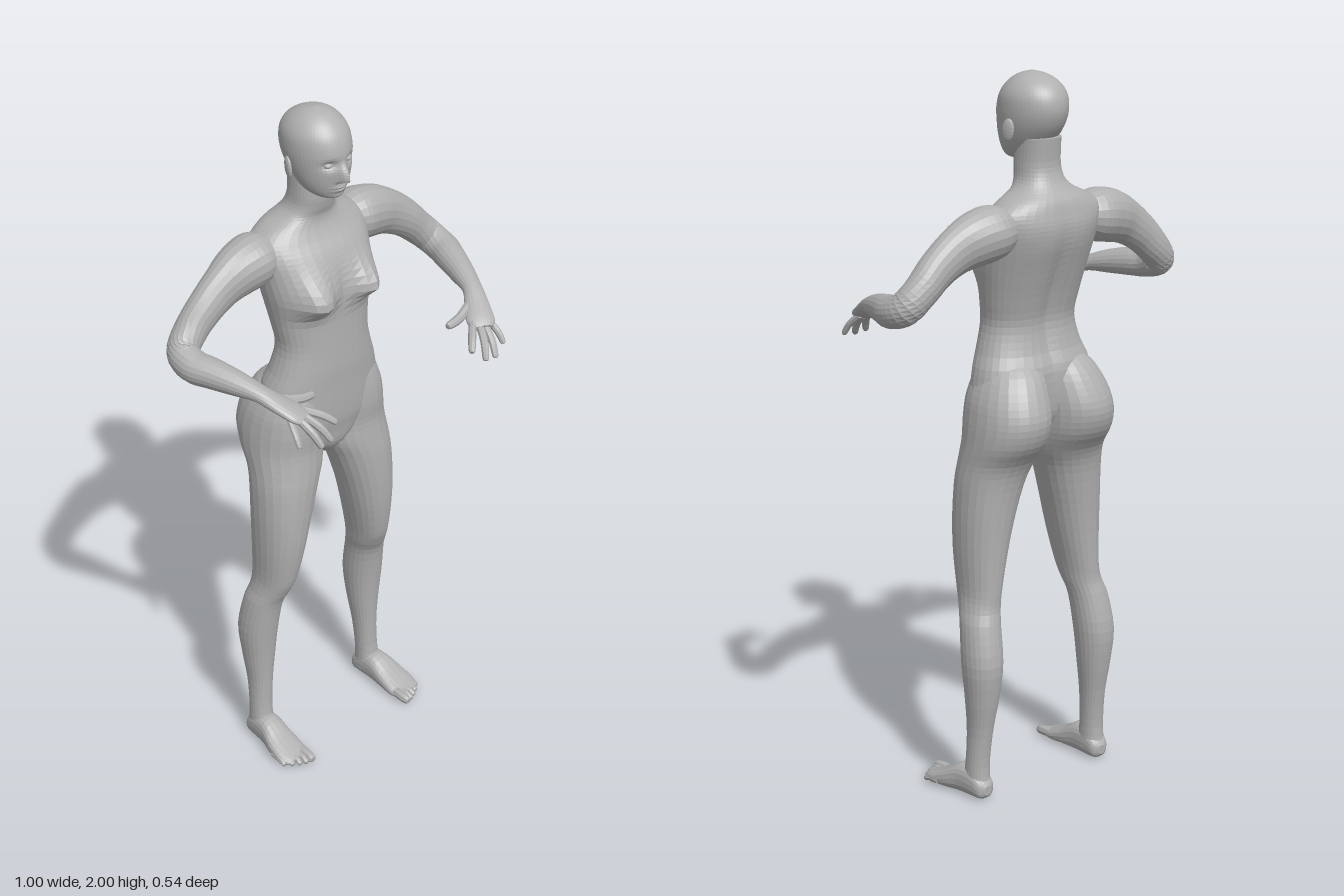
import * as THREE from 'three';

const skinMat = new THREE.MeshStandardMaterial({ color: 0xb0b0b0, flatShading: true });
skinMat.name = 'plain grey';

const bell = (v, c, w) => Math.exp(-(((v - c) / w) ** 2));

// Smooth interpolation through rows of numbers
function sample(rows, steps) {
  const out = [], n = rows.length - 1;
  const at = i => rows[Math.min(Math.max(i, 0), n)];
  for (let k = 0; k <= steps; k++) {
    const t = (k / steps) * n, i = Math.min(Math.floor(t), n - 1), f = t - i;
    const [a, b, c, d] = [at(i - 1), at(i), at(i + 1), at(i + 2)];
    out.push(b.map((v, j) => v + 0.5 * f * (c[j] - a[j] + f * (2 * a[j] - 5 * v + 4 * c[j] - d[j]
      + f * (3 * (v - c[j]) + d[j] - a[j])))));
  }
  return out;
}

// Closed skin over a list of rings
function skin(rings) {
  const sides = rings[0].length, last = rings.length - 1, pos = [], idx = [];
  rings.forEach(r => r.forEach(p => pos.push(p.x, p.y, p.z)));
  for (const r of [rings[0], rings[last]]) {
    const c = r.reduce((s, p) => s.add(p), new THREE.Vector3()).divideScalar(sides);
    pos.push(c.x, c.y, c.z);
  }
  const bottom = rings.length * sides, top = bottom + 1;
  for (let j = 0; j < sides; j++) {
    const k = (j + 1) % sides;
    for (let i = 0; i < last; i++) {
      const a = i * sides + j, b = i * sides + k;
      idx.push(a, a + sides, b, b, a + sides, b + sides);
    }
    idx.push(bottom, j, k, top, last * sides + k, last * sides + j);
  }
  const g = new THREE.BufferGeometry();
  g.setAttribute('position', new THREE.Float32BufferAttribute(pos, 3));
  g.setIndex(idx);
  g.computeVertexNormals();
  return g;
}

// Rows: [height, centre x, half width, front z, back z]
function loft(rows, steps, sides, shape = p => p, power = 1) {
  const soft = v => Math.sign(v) * Math.abs(v) ** power;
  return skin(sample(rows, steps).map(([t, c, r, f, b]) =>
    Array.from({ length: sides }, (_, j) => {
      const a = (j / sides) * Math.PI * 2, s = soft(Math.sin(a));
      return shape(new THREE.Vector3(c + r * soft(Math.cos(a)), t, (f + b) / 2 + s * (f - b) / 2), s);
    })));
}

// Rows: [x, y, z, sideways radius, upright radius]
function limb(rows, steps, sides) {
  const pts = sample(rows, steps), up = new THREE.Vector3(0, 1, 0);
  const vec = r => new THREE.Vector3(r[0], r[1], r[2]);
  return skin(pts.map((r, i) => {
    const dir = vec(pts[Math.min(i + 1, steps)]).sub(vec(pts[Math.max(i - 1, 0)])).normalize();
    const side = new THREE.Vector3().crossVectors(up, dir).normalize();
    const lift = new THREE.Vector3().crossVectors(dir, side);
    return Array.from({ length: sides }, (_, j) => {
      const a = (-j / sides) * Math.PI * 2;
      return vec(r).addScaledVector(side, Math.cos(a) * r[3]).addScaledVector(lift, Math.sin(a) * r[4]);
    });
  }));
}

// Finger or toe: from base through a joint to a rounded tip
function digit(base, joint, tip, r) {
  const end = tip.map((v, i) => v + (joint[i] - v) * 0.12);
  return limb([[...base, r, r], [...joint, r, r], [...end, r * 0.8, r * 0.8], [...tip, r * 0.25, r * 0.25]], 9, 8);
}

function ball(x, y, z, sx, sy, sz) {
  return new THREE.SphereGeometry(1, 14, 10).scale(sx, sy, sz).translate(x, y, z);
}

function mirrored(g) {
  const m = g.clone().scale(-1, 1, 1), ix = m.index;
  for (let i = 0; i < ix.count; i += 3) {
    const a = ix.getX(i);
    ix.setX(i, ix.getX(i + 1));
    ix.setX(i + 1, a);
  }
  m.computeVertexNormals();
  return m;
}

export function createModel() {
  const model = new THREE.Group();
  model.name = 'figure';
  const add = (name, g) => {
    const m = new THREE.Mesh(g, skinMat);
    m.name = name;
    model.add(m);
  };
  const pair = (name, g) => {
    add(name + 'Left', g);
    add(name + 'Right', mirrored(g));
  };

  // Torso and neck, with chest and a groove along the spine
  const torsoRows = [
    [0.96, 0, 0.025, -0.05, -0.12], [1.0, 0, 0.075, -0.022, -0.15], [1.05, 0, 0.145, -0.012, -0.18],
    [1.1, 0, 0.195, -0.004, -0.2], [1.2, 0, 0.184, 0, -0.205], [1.26, 0, 0.162, 0.002, -0.185],
    [1.33, 0, 0.144, 0, -0.175], [1.4, 0, 0.152, -0.002, -0.19], [1.48, 0, 0.165, -0.002, -0.215],
    [1.55, 0, 0.174, -0.012, -0.238], [1.6, 0, 0.182, -0.032, -0.245], [1.64, 0, 0.178, -0.06, -0.238],
    [1.67, 0, 0.14, -0.075, -0.228], [1.695, 0, 0.09, -0.078, -0.21], [1.72, 0, 0.067, -0.071, -0.195],
    [1.76, 0, 0.06, -0.065, -0.185], [1.83, 0, 0.057, -0.07, -0.19],
  ];
  add('torso', loft(torsoRows, 56, 36, (p, s) => {
    const x = Math.abs(p.x);
    if (s > 0.1) p.z += 0.056 * bell(x, 0.092, 0.05) * bell(p.y, 1.485, p.y < 1.485 ? 0.035 : 0.062);
    if (s < -0.1) p.z += 0.016 * bell(x, 0, 0.03) * bell(p.y, 1.38, 0.2);
    return p;
  }, 0.88));

  // Head with sockets, nose, lips and chin
  const headRows = [
    [1.764, 0, 0.02, -0.03, -0.08], [1.772, 0, 0.04, -0.018, -0.11], [1.79, 0, 0.059, -0.012, -0.14],
    [1.82, 0, 0.073, -0.005, -0.168], [1.86, 0, 0.083, 0, -0.198], [1.9, 0, 0.087, 0, -0.212],
    [1.94, 0, 0.083, -0.012, -0.207], [1.97, 0, 0.065, -0.035, -0.185], [1.99, 0, 0.038, -0.065, -0.148],
    [2.0, 0, 0.004, -0.1, -0.108],
  ];
  add('head', loft(headRows, 54, 56, (p, s) => {
    if (s < 0.2) return p;
    const x = Math.abs(p.x), { smoothstep } = THREE.MathUtils;
    const bridge = (1 - smoothstep(p.y, 1.83, 1.885)) * smoothstep(p.y, 1.814, 1.828);
    p.z += 0.03 * bridge * bell(x, 0, 0.013);
    p.z -= 0.013 * bell(x, 0.034, 0.018) * bell(p.y, 1.872, 0.012);
    p.z += 0.009 * bell(x, 0, 0.022) * bell(p.y, 1.798, 0.01);
    p.z -= 0.006 * bell(x, 0, 0.02) * bell(p.y, 1.798, 0.003);
    p.z += 0.004 * bell(x, 0, 0.02) * bell(p.y, 1.775, 0.008);
    return p;
  }));
  pair('eye', ball(0.034, 1.871, -0.022, 0.013, 0.008, 0.012));
  pair('ear', ball(0, 0, 0, 0.008, 0.031, 0.018).rotateY(0.35).rotateX(-0.15).translate(0.09, 1.852, -0.112));

  // Leg, from ankle up to buttock
  pair('leg', loft([
    [0.03, 0.214, 0.034, -0.075, -0.168], [0.1, 0.213, 0.032, -0.093, -0.162], [0.2, 0.209, 0.034, -0.095, -0.172],
    [0.3, 0.207, 0.045, -0.09, -0.19], [0.4, 0.206, 0.054, -0.08, -0.2], [0.5, 0.198, 0.053, -0.064, -0.182],
    [0.55, 0.186, 0.051, -0.042, -0.169], [0.6, 0.178, 0.052, -0.022, -0.168], [0.7, 0.168, 0.066, -0.005, -0.17],
    [0.8, 0.156, 0.08, 0.001, -0.176], [0.9, 0.139, 0.095, 0, -0.187], [0.96, 0.124, 0.105, -0.005, -0.207],
    [1.02, 0.117, 0.108, -0.01, -0.25], [1.08, 0.112, 0.107, -0.006, -0.266], [1.14, 0.104, 0.102, -0.008, -0.25],
    [1.2, 0.09, 0.085, -0.02, -0.216], [1.24, 0.08, 0.05, -0.05, -0.17],
  ], 52, 24, p => p, 0.93));

  // Foot, running from toes to heel, and five toes
  pair('foot', loft([
    [0.05, 0.222, 0.035, 0.024, 0.004], [0.02, 0.225, 0.049, 0.036, 0], [-0.03, 0.223, 0.047, 0.06, 0],
    [-0.08, 0.218, 0.039, 0.088, 0], [-0.13, 0.215, 0.035, 0.085, 0], [-0.16, 0.214, 0.029, 0.06, 0.002],
    [-0.173, 0.214, 0.012, 0.042, 0.014],
  ], 20, 20, p => p.set(p.x, p.z, p.y), 0.8));
  [0.08, 0.074, 0.066, 0.054, 0.038].forEach((z, i) => {
    const x = 0.193 + i * 0.018, r = i ? 0.0098 : 0.0145;
    pair('toe' + (i + 1), digit([x, 0.02, z - 0.055], [x, 0.018, z - 0.022], [x + 0.002, r, z], r));
  });

  // Arm from shoulder through elbow and wrist to the palm
  pair('arm', limb([
    [0.11, 1.605, -0.15, 0.045, 0.045], [0.175, 1.6, -0.152, 0.074, 0.072], [0.24, 1.587, -0.15, 0.065, 0.073],
    [0.3, 1.562, -0.146, 0.05, 0.063], [0.36, 1.522, -0.144, 0.045, 0.054], [0.41, 1.475, -0.143, 0.044, 0.048],
    [0.448, 1.435, -0.128, 0.044, 0.046], [0.453, 1.416, -0.08, 0.045, 0.044], [0.436, 1.411, -0.03, 0.042, 0.041],
    [0.411, 1.402, 0.04, 0.035, 0.033], [0.388, 1.39, 0.1, 0.028, 0.022], [0.365, 1.37, 0.14, 0.034, 0.019],
    [0.337, 1.346, 0.185, 0.04, 0.016], [0.326, 1.335, 0.206, 0.03, 0.011],
  ], 56, 20));

  // Fingers and thumb
  const digits = {
    thumb: [[0.36, 1.372, 0.125], [0.298, 1.353, 0.145], [0.245, 1.347, 0.15], 0.0135],
    indexFinger: [[0.312, 1.344, 0.18], [0.274, 1.327, 0.216], [0.248, 1.305, 0.242], 0.011],
    middleFinger: [[0.326, 1.342, 0.19], [0.302, 1.313, 0.235], [0.283, 1.274, 0.262], 0.011],
    ringFinger: [[0.342, 1.339, 0.193], [0.33, 1.309, 0.236], [0.318, 1.27, 0.265], 0.011],
    littleFinger: [[0.36, 1.342, 0.184], [0.37, 1.313, 0.218], [0.374, 1.281, 0.24], 0.0095],
  };
  for (const [name, d] of Object.entries(digits)) pair(name, digit(...d));

  return model;
}
